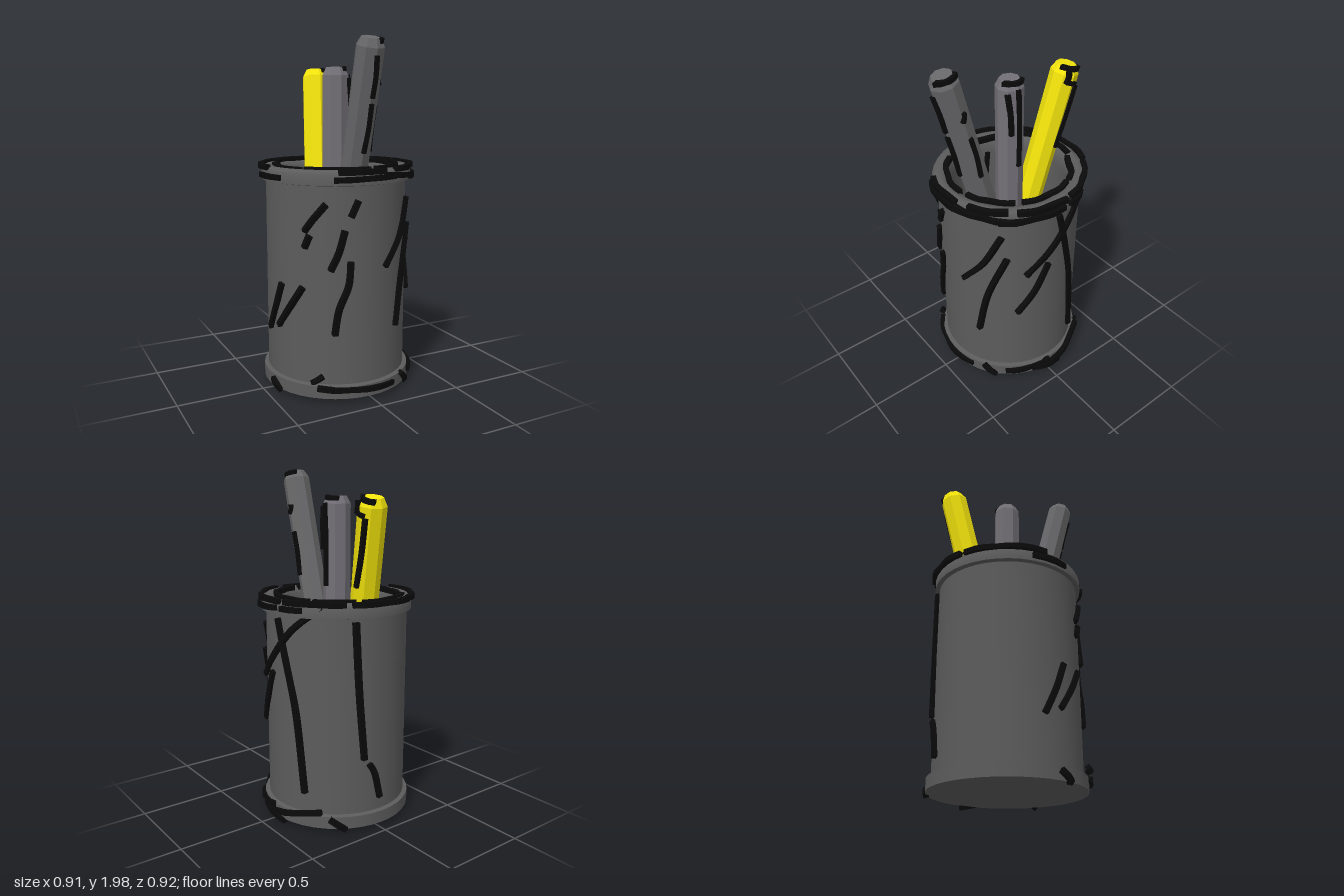
import * as THREE from 'three';
import { toCreasedNormals } from 'three/addons/utils/BufferGeometryUtils.js';

const V = (x, y, z) => new THREE.Vector3(x, y, z);
const paint = (color, extra = {}) => new THREE.MeshStandardMaterial({ color, ...extra });
const ink = paint(0x0a0a0a, { side: THREE.DoubleSide });
const RAD = Math.PI / 180;

// Square-section ink line through a few points
function inkLine(name, points, w = 0.03) {
  const h = w / 2;
  const section = new THREE.Shape([[-h, -h], [h, -h], [h, h], [-h, h]].map(p => new THREE.Vector2(...p)));
  const path = new THREE.CatmullRomCurve3(points);
  const steps = Math.max(4, Math.ceil(path.getLength() / 0.04));
  const geo = new THREE.ExtrudeGeometry(section, { steps, extrudePath: path });
  const mesh = new THREE.Mesh(geo, ink);
  mesh.name = name;
  return mesh;
}

// Point around the vertical axis; 0 degrees is the front, 90 is +x
const polar = (deg, r, y) => V(r * Math.sin(deg * RAD), y, r * Math.cos(deg * RAD));

function arc(name, a0, a1, r, y0, y1 = y0, w = 0.03) {
  const n = Math.max(2, Math.ceil(Math.abs(a1 - a0) / 15));
  const pts = [];
  for (let i = 0; i <= n; i++) {
    const t = i / n;
    pts.push(polar(a0 + (a1 - a0) * t, r + 0.006 * Math.sin(i * 2.3), y0 + (y1 - y0) * t));
  }
  return inkLine(name, pts, w);
}

// Cup: outer wall with two bands, rounded lip, inner wall and raised floor
function makeCup() {
  const profile = [
    [0, 0.03], [0.43, 0.03], [0.43, 0.1], [0.405, 0.105], [0.405, 1.205], [0.43, 1.21],
    [0.43, 1.265], [0.418, 1.285], [0.39, 1.29], [0.355, 1.28], [0.335, 1.25], [0.33, 1.2],
    [0.33, 0.3], [0, 0.3],
  ].map(p => new THREE.Vector2(...p));
  const cup = new THREE.Mesh(toCreasedNormals(new THREE.LatheGeometry(profile, 40), 0.9), paint(0x5c5c5c));
  cup.name = 'cup';
  return cup;
}

// Sketch lines on the cup, in its own centred frame
function makeCupInk() {
  const g = new THREE.Group();
  g.name = 'cupSketchLines';
  const R = 0.412;
  const depth = s => Math.sqrt(Math.max(0, R * R - s * s));
  const sides = {
    front: s => [s, depth(s)], back: s => [s, -depth(s)],
    right: s => [depth(s), s], left: s => [-depth(s), s],
  };
  const wall = {
    front: [
      [[-0.25, 1.11], [-0.31, 1.02], [-0.34, 0.96]], [[-0.32, 0.94], [-0.34, 0.87]],
      [[-0.09, 1.13], [-0.13, 1.04]], [[-0.16, 0.97], [-0.19, 0.85], [-0.23, 0.75]],
      [[-0.13, 0.8], [-0.14, 0.67], [-0.19, 0.53], [-0.21, 0.39]],
      [[0.28, 1.11], [0.2, 0.91], [0.08, 0.75]], [[0.3, 0.96], [0.22, 0.68], [0.17, 0.39]],
    ],
    right: [
      [[0.02, 0.88], [0.1, 0.7], [0.19, 0.55]],
      [[-0.04, 1.19], [-0.09, 1.0], [-0.16, 0.7], [-0.21, 0.22]],
      [[-0.3, 1.27], [-0.15, 1.14], [0, 0.98], [0.15, 0.83]],
    ],
    back: [[[0.14, 1.19], [0.12, 0.8], [0.09, 0.42]], [[0.06, 0.39], [0.03, 0.34], [-0.01, 0.18]]],
    left: [[[0.1, 0.65], [0.04, 0.5], [-0.03, 0.36]], [[0.23, 0.65], [0.16, 0.53], [0.07, 0.4]]],
  };
  for (const [side, lines] of Object.entries(wall)) {
    for (const line of lines) {
      g.add(inkLine(side + 'WallLine', line.map(([s, y]) => {
        const [x, z] = sides[side](s + 0.02);
        return V(x, y, z);
      })));
    }
  }
  // Broken rings on the lip: start, end, radius, height
  for (const a of [
    [-25, 12, 0.425, 1.28], [22, 52, 0.425, 1.285], [58, 98, 0.43, 1.285], [102, 150, 0.425, 1.285],
    [154, 205, 0.435, 1.285], [208, 272, 0.43, 1.285],
    [-55, 5, 0.35, 1.285], [12, 58, 0.345, 1.285], [64, 118, 0.345, 1.285], [122, 160, 0.35, 1.285],
    [165, 225, 0.375, 1.285], [230, 300, 0.35, 1.28],
  ]) g.add(arc('lipLine', ...a));
  // Lines around the upper band and the foot
  for (const a of [
    [-28, 20, 0.435, 1.24, 1.25], [10, 58, 0.435, 1.26, 1.23], [45, 95, 0.435, 1.23, 1.25],
    [100, 118, 0.435, 1.25], [-100, -70, 0.435, 1.24],
  ]) g.add(arc('bandLine', ...a));
  for (const a of [
    [-44, -36, 0.435, 0.12, 0.16], [-40, 22, 0.435, 0.09, 0.07], [32, 42, 0.435, 0.1],
    [50, 88, 0.435, 0.07, 0.09], [72, 100, 0.435, 0.07, 0.02], [88, 132, 0.44, 0.06, 0.13],
    [138, 150, 0.435, 0.09], [-82, -72, 0.435, 0.08],
  ]) g.add(arc('footLine', ...a, 0.028));
  // Short mark inside the cup
  g.add(inkLine('innerLine', [polar(-105, 0.325, 1.2), polar(-100, 0.325, 0.9), polar(-95, 0.325, 0.6)], 0.025));
  return g;
}

// Eight-sided pen from bottom centre to top centre, with its sketch lines
function makePen(name, bottom, top, color, lines) {
  const g = new THREE.Group();
  g.name = name;
  const L = bottom.distanceTo(top);
  const profile = [[0, 0], [0.055, 0], [0.078, 0.045], [0.078, L - 0.045], [0.055, L], [0, L]]
    .map(p => new THREE.Vector2(...p));
  const body = new THREE.Mesh(new THREE.LatheGeometry(profile, 8).toNonIndexed(), paint(color, { flatShading: true }));
  body.geometry.computeVertexNormals();
  body.name = name + 'Body';
  g.add(body);
  // Each line: angle and distance below the tip, at both ends
  for (const [a0, d0, a1, d1] of lines) {
    const mid = polar((a0 + a1) / 2 + 4, 0.077, L - (d0 + d1) / 2);
    g.add(inkLine(name + 'Line', [polar(a0, 0.077, L - d0), mid, polar(a1, 0.077, L - d1)], 0.024));
  }
  g.add(arc(name + 'TipLine', 20, 150, 0.06, L - 0.01, L - 0.015, 0.026));
  g.position.copy(bottom);
  g.quaternion.setFromUnitVectors(V(0, 1, 0), top.clone().sub(bottom).normalize());
  return g;
}

export function createModel() {
  const model = new THREE.Group();
  model.name = 'penCup';
  const vessel = new THREE.Group();
  vessel.name = 'vessel';
  vessel.add(makeCup(), makeCupInk());
  vessel.position.set(-0.02, 0, -0.02);
  model.add(vessel);

  model.add(
    makePen('frontPen', V(-0.018, 0.45, -0.02), V(-0.018, 1.97, 0.385), 0x68686a,
      [[0, 0.08, 5, 0.3], [5, 0.33, 0, 0.6], [95, 0.36, 88, 0.62], [100, 0.2, 85, 0.25]]),
    makePen('middlePen', V(-0.02, 0.35, -0.025), V(-0.02, 1.835, -0.025), 0x737077,
      [[88, 0.04, 92, 0.5], [45, 0.06, 60, 0.3]]),
    makePen('yellowPen', V(-0.11, 0.37, -0.06), V(0.02, 1.83, -0.385), 0xf5e60c,
      [[115, 0.1, 100, 0.48], [60, 0.08, 110, 0.09], [62, 0.02, 62, 0.09]]),
  );
  return model;
}
